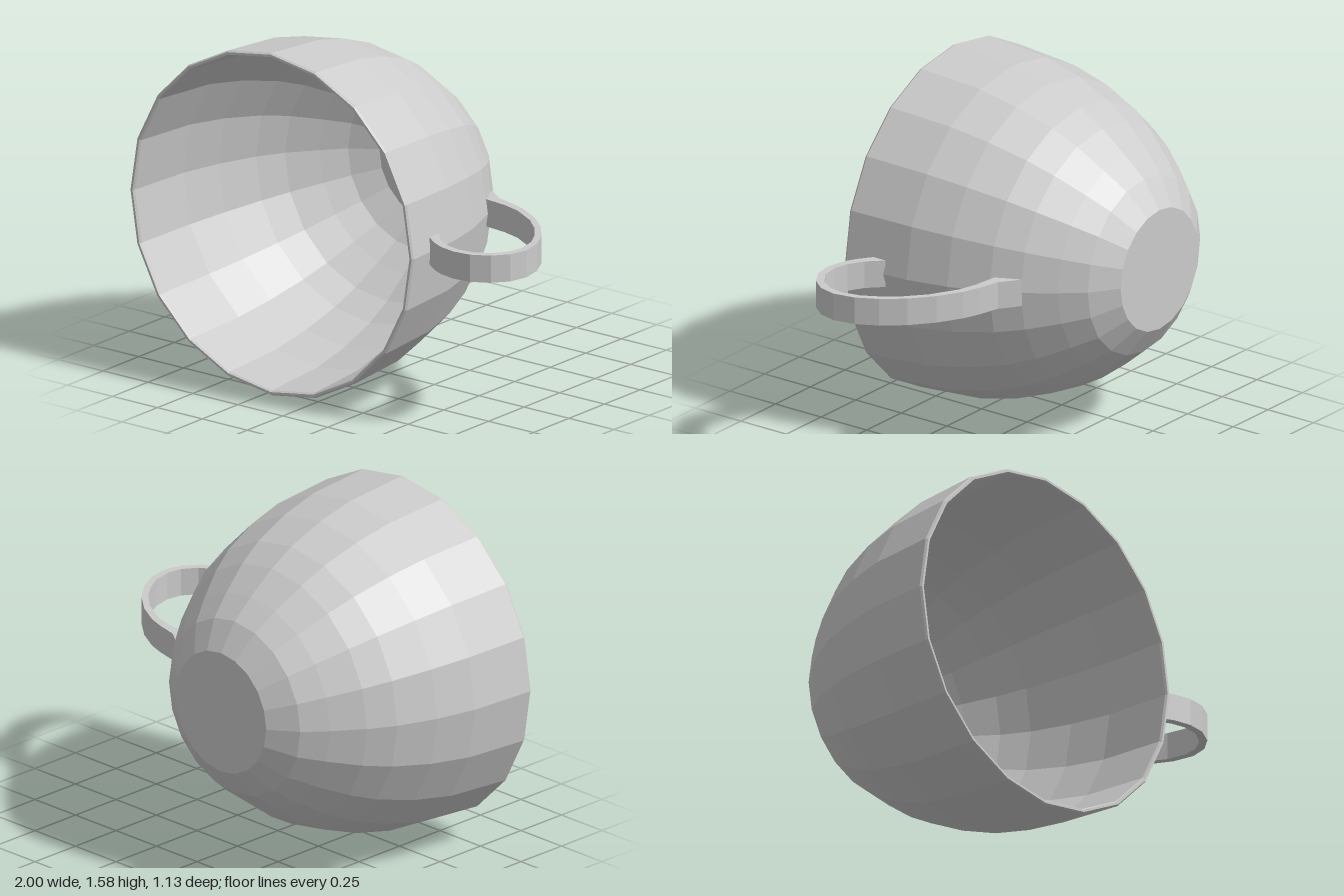
import * as THREE from 'three';

export function createModel() {
  const model = new THREE.Group();
  const material = new THREE.MeshStandardMaterial({ color: 0xcccccc, flatShading: true });
  const v = (list) => list.map(([a, b]) => new THREE.Vector2(a, b));

  // Bowl of the cup: [radius, z] from base to rim, with a thin inner wall
  const outer = [
    [0.28, -0.565], [0.405, -0.48], [0.49, -0.38], [0.587, -0.25],
    [0.655, -0.13], [0.722, 0.05], [0.765, 0.24], [0.788, 0.555],
  ];
  const inner = [
    [0.765, 0.555], [0.743, 0.24], [0.7, 0.05], [0.634, -0.13],
    [0.567, -0.25], [0.472, -0.37], [0.388, -0.467], [0.275, -0.545],
  ];
  const profile = v([[0, -0.565], ...outer, [0.782, 0.565], [0.771, 0.565], ...inner, [0, -0.545]]);
  const bowlGeometry = new THREE.LatheGeometry(profile, 20);
  bowlGeometry.rotateX(Math.PI / 2); // the mouth faces the front
  const bowl = new THREE.Mesh(bowlGeometry, material);
  bowl.name = 'cupBowl';
  bowl.position.set(-0.212, 0.79, 0);
  model.add(bowl);

  // Handle: flat loop outline in [x, z], extruded along y
  const outside = [
    [0.37, -0.255], [0.46, -0.19], [0.56, -0.165], [0.64, -0.137], [0.75, -0.075],
    [0.85, 0.008], [0.93, 0.105], [0.98, 0.2], [1.0, 0.3], [0.98, 0.385],
    [0.925, 0.455], [0.845, 0.5], [0.76, 0.511], [0.68, 0.495], [0.62, 0.467], [0.555, 0.42],
  ];
  const inside = [
    [0.555, 0.355], [0.575, 0.375], [0.62, 0.42], [0.69, 0.46], [0.76, 0.476], [0.84, 0.465],
    [0.91, 0.42], [0.953, 0.355], [0.965, 0.285], [0.945, 0.195], [0.9, 0.115],
    [0.84, 0.04], [0.755, -0.035], [0.63, -0.105], [0.54, -0.13], [0.425, -0.143],
  ];
  const handleGeometry = new THREE.ExtrudeGeometry(new THREE.Shape(v([...outside, ...inside])), {
    depth: 0.125, bevelEnabled: false,
  });
  handleGeometry.rotateX(Math.PI / 2);
  const handle = new THREE.Mesh(handleGeometry, material);
  handle.name = 'handle';
  handle.position.y = 0.854;
  model.add(handle);

  return model;
}
